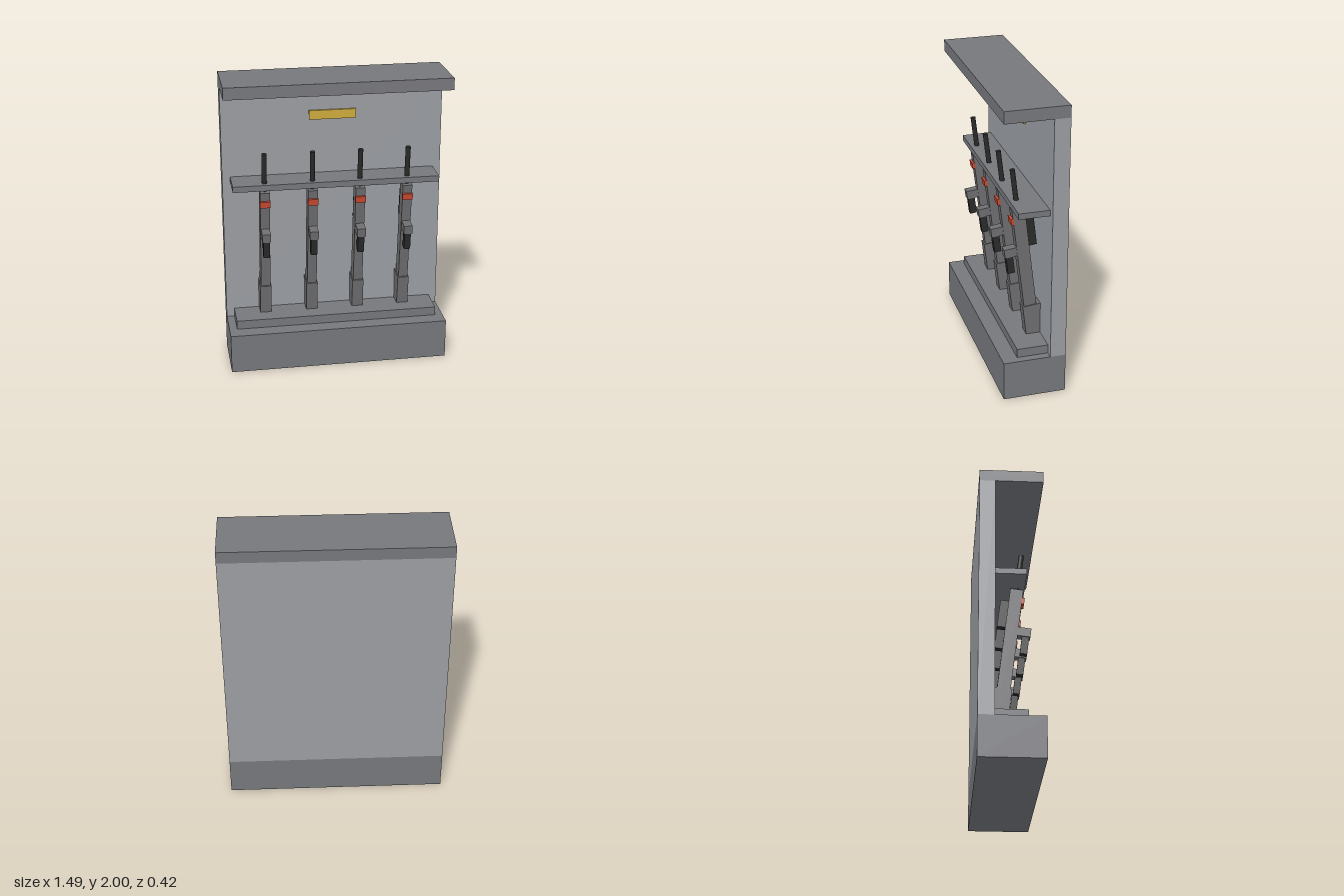
import * as THREE from 'three';

const material = (name, color) => {
  const m = new THREE.MeshStandardMaterial({ color });
  m.name = name;
  return m;
};

export function createModel() {
  const frameGrey = material('frame grey', 0x76777c);
  const panelGrey = material('panel grey', 0x9a9da2);
  const gunGrey = material('gun grey', 0x6e6e71);
  const black = material('black', 0x2a2a2b);
  const red = material('red', 0xcc4a34);
  const yellow = material('yellow', 0xccab3c);

  // Box given by its lower and upper bounds on each axis
  const box = (parent, name, mat, [x0, x1], [y0, y1], [z0, z1]) => {
    const mesh = new THREE.Mesh(new THREE.BoxGeometry(x1 - x0, y1 - y0, z1 - z0), mat);
    mesh.position.set((x0 + x1) / 2, (y0 + y1) / 2, (z0 + z1) / 2);
    mesh.name = name;
    parent.add(mesh);
  };
  const wide = (w) => [-w / 2, w / 2];

  const model = new THREE.Group();
  model.name = 'gunRack';

  // Cabinet
  box(model, 'base', frameGrey, wide(1.49), [0, 0.27], [-0.21, 0.21]);
  box(model, 'backPanel', panelGrey, wide(1.49), [0.27, 1.92], [-0.21, -0.105]);
  box(model, 'canopy', frameGrey, wide(1.49), [1.92, 2], [-0.21, 0.21]);
  box(model, 'lowerLedge', frameGrey, wide(1.385), [0.27, 0.33], [-0.105, 0.105]);
  box(model, 'upperRail', frameGrey, wide(1.385), [1.26, 1.3], [-0.105, 0.1]);
  box(model, 'signPlate', yellow, wide(0.315), [1.675, 1.737], [-0.105, -0.09]);

  // Four rifles leaning forward from the ledge
  for (let i = 0; i < 4; i++) {
    const rifle = new THREE.Group();
    rifle.name = `rifle${i + 1}`;
    rifle.position.set(-0.48 + i * 0.32, 0.33, -0.0625);
    rifle.rotation.x = 0.12;

    box(rifle, 'body', gunGrey, wide(0.064), [0, 0.922], [-0.0425, 0.0425]);
    box(rifle, 'stock', gunGrey, wide(0.077), [-0.02, 0.213], [-0.07, 0.053]);
    box(rifle, 'sightBlock', gunGrey, wide(0.058), [0.595, 0.655], [0, 0.125]);
    box(rifle, 'sightHood', black, wide(0.043), [0.475, 0.6], [0.071, 0.118]);
    box(rifle, 'magazine', black, wide(0.045), [0.643, 0.834], [-0.096, -0.035]);
    box(rifle, 'band', red, wide(0.07), [0.82, 0.864], [0.038, 0.058]);

    const barrel = new THREE.Mesh(new THREE.CylinderGeometry(0.017, 0.017, 0.289, 10), black);
    barrel.position.y = 1.0445;
    barrel.name = 'barrel';
    rifle.add(barrel);
    model.add(rifle);
  }
  return model;
}
